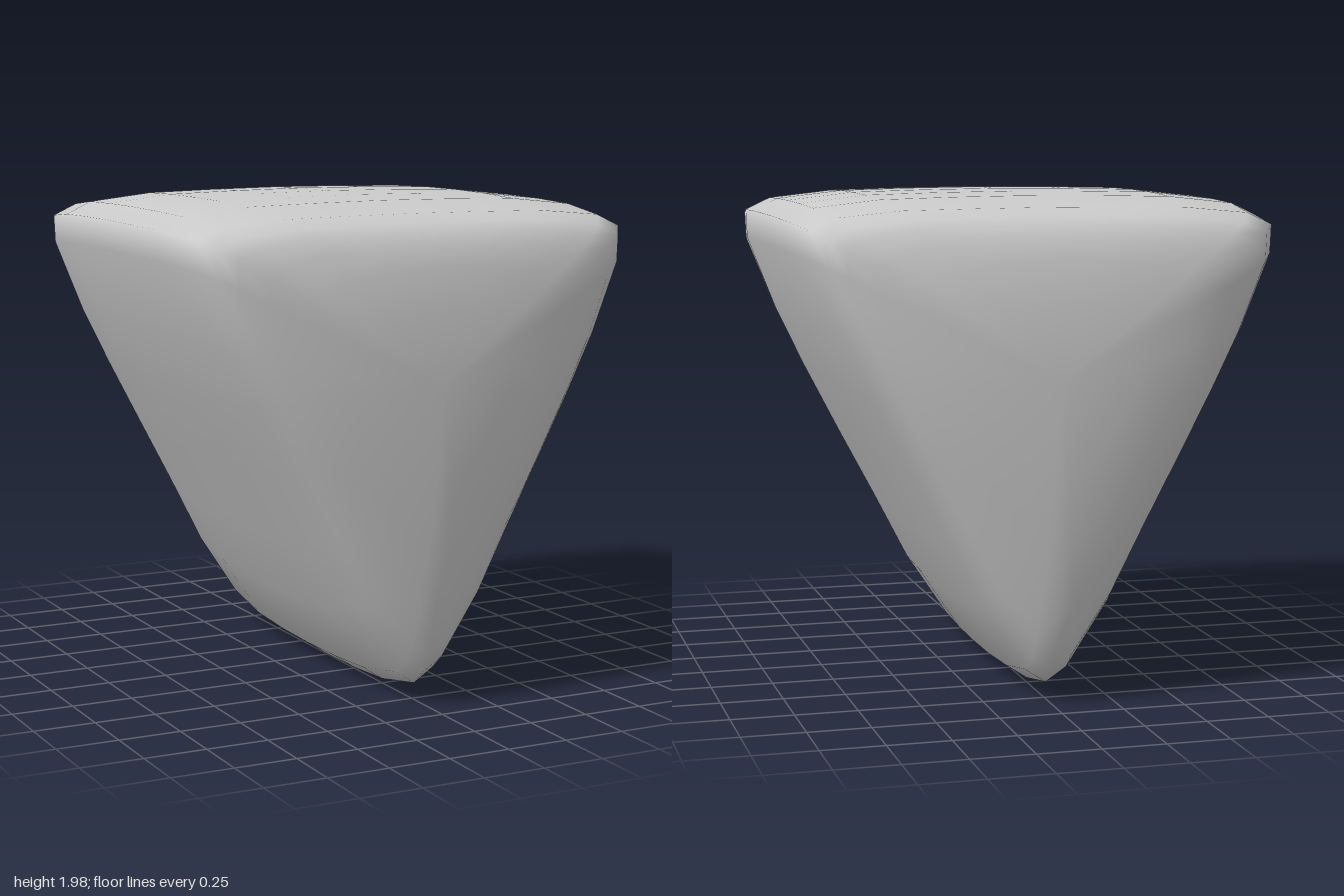
import * as THREE from 'three';

// Right half of the triangular outline, tip to top: x, y, corner weight
const HALF = [
  [0, 0.01, 1], [0.09, 0.07, 1], [0.27, 0.34, 0.7], [0.42, 0.63, 0.35], [0.58, 0.93, 0.1],
  [0.73, 1.22, 0.2], [0.85, 1.47, 0.5], [0.97, 1.78, 1], [0.975, 1.9, 1], [0.87, 1.95, 0.9],
  [0.6, 1.98, 0.4], [0.3, 1.987, 0.1], [0, 1.99, 0],
];
// Rings from the middle to the front: z, scale at edge middles, scale at corners
const RINGS = [
  [0, 1, 1], [0.25, 0.997, 0.997], [0.5, 0.985, 0.986], [0.77, 0.935, 0.947], [0.85, 0.89, 0.895],
  [0.89, 0.85, 0.83], [0.925, 0.78, 0.72], [0.96, 0.66, 0.54], [0.985, 0.42, 0.34], [0.995, 0.2, 0.17],
];
const CENTRE_Y = 1.3;

function roundedPrism() {
  const mirrored = HALF.slice(1, -1).reverse().map(([x, y, w]) => [-x, y, w]);
  const outline = [...HALF, ...mirrored];
  const back = RINGS.slice(1).reverse().map(([z, e, c]) => [-z, e, c]);
  const rings = [...back, ...RINGS];
  const n = outline.length;
  const pos = [];
  const index = [];

  // Cross-sections shrink towards both ends, corners more than edges
  for (const [z, edge, corner] of rings) {
    for (const [x, y, w] of outline) {
      const s = THREE.MathUtils.lerp(edge, corner, w);
      pos.push(x * s, CENTRE_Y + (y - CENTRE_Y) * s, z);
    }
  }
  const backPole = rings.length * n;
  const frontPole = backPole + 1;
  pos.push(0, CENTRE_Y, -1, 0, CENTRE_Y, 1);

  for (let j = 0; j < n; j++) {
    const k = (j + 1) % n;
    for (let i = 0; i < rings.length - 1; i++) {
      const a = i * n, b = a + n;
      index.push(a + j, a + k, b + k, a + j, b + k, b + j);
    }
    const last = (rings.length - 1) * n;
    index.push(backPole, k, j, frontPole, last + j, last + k);
  }

  const geometry = new THREE.BufferGeometry();
  geometry.setAttribute('position', new THREE.Float32BufferAttribute(pos, 3));
  geometry.setIndex(index);
  geometry.computeVertexNormals();
  return geometry;
}

export function createModel() {
  const group = new THREE.Group();
  group.name = 'roundedWedge';
  const body = new THREE.Mesh(roundedPrism(), new THREE.MeshStandardMaterial({ color: 0xcccccc }));
  body.name = 'wedgeBody';
  group.add(body);
  return group;
}
